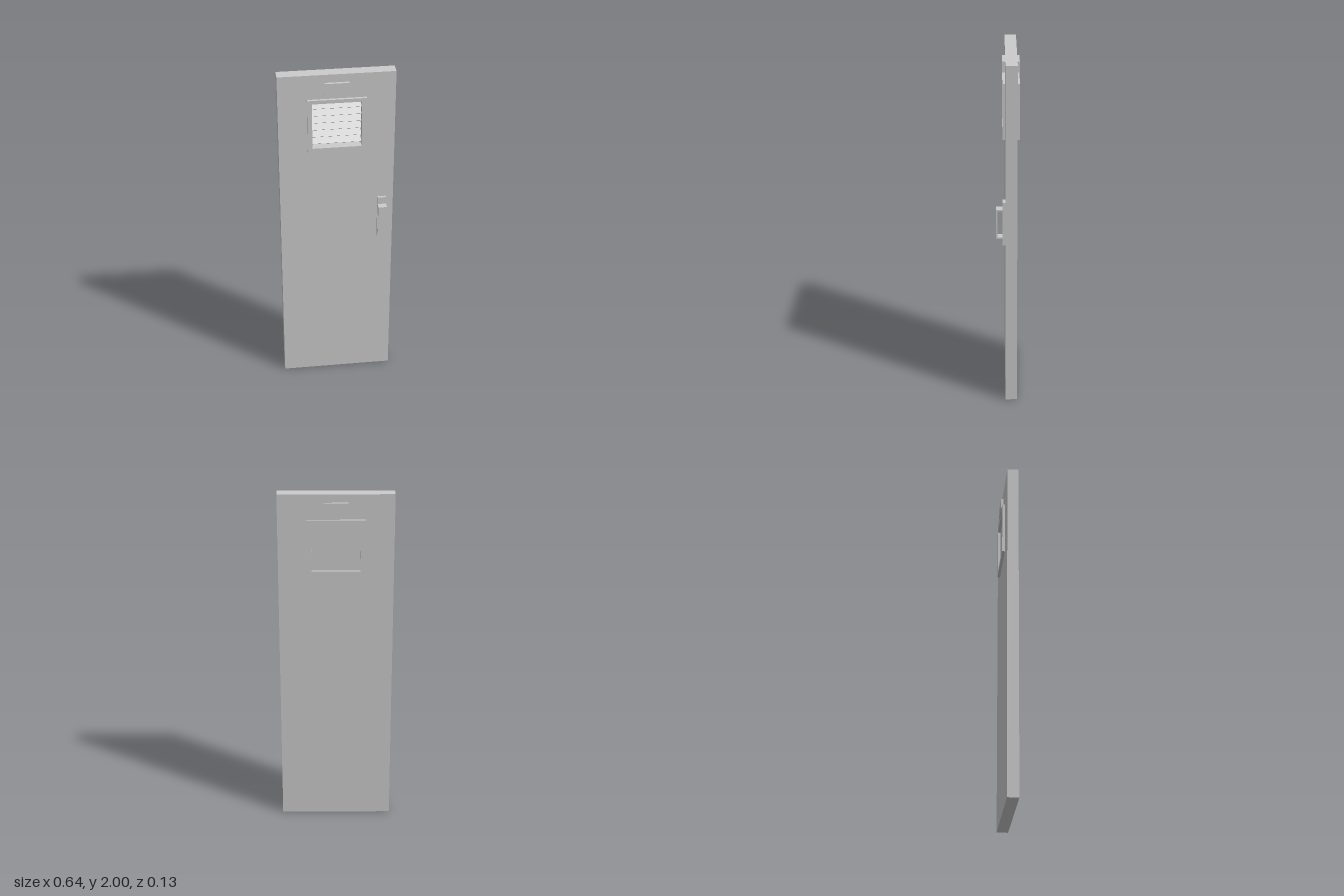
import * as THREE from 'three';

const material = new THREE.MeshStandardMaterial({ color: 0xcccccc, flatShading: true });

export function createModel() {
  const door = new THREE.Group();
  door.name = 'door';

  const add = (parent, name, geometry, x = 0, y = 0, z = 0) => {
    const mesh = new THREE.Mesh(geometry, material);
    mesh.name = name;
    mesh.position.set(x, y, z);
    parent.add(mesh);
    return mesh;
  };
  // Box given by its min and max on each axis
  const addBox = (parent, name, [x0, x1], [y0, y1], [z0, z1]) =>
    add(parent, name, new THREE.BoxGeometry(x1 - x0, y1 - y0, z1 - z0),
      (x0 + x1) / 2, (y0 + y1) / 2, (z0 + z1) / 2);

  const rect = (Type, x, y0, y1) => new Type([
    [-x, y0], [x, y0], [x, y1], [-x, y1],
  ].map(([px, py]) => new THREE.Vector2(px, py)));

  // Plate with a rectangular opening, extruded from z0 to z1
  const addFrame = (name, outer, inner, z0, z1) => {
    const shape = rect(THREE.Shape, ...outer);
    shape.holes.push(rect(THREE.Path, ...inner));
    add(door, name, new THREE.ExtrudeGeometry(shape, { depth: z1 - z0, bevelEnabled: false }), 0, 0, z0);
  };

  const front = 0.013, back = -0.052, trim = 0.015;
  const opening = [0.135, 1.563, 1.836];

  // Door leaf with the vent pocket closed at the back
  addFrame('doorLeaf', [0.319, 0, 2], opening, back, front);
  addBox(door, 'ventBackPanel', [-0.135, 0.135], [1.563, 1.836], [back, back + 0.01]);

  // Vent frames and name plates on both faces
  for (const [side, z0, z1] of [['front', front, front + trim], ['back', back - trim, back]]) {
    addFrame(side + 'VentFrame', [0.161, 1.54, 1.857], opening, z0, z1);
    addBox(door, side + 'Plate', [-0.066, 0.066], [1.892, 1.953], [z0, z1]);
  }

  // Louvre slats, sloping down towards the front
  const louvre = new THREE.Group();
  louvre.name = 'louvre';
  door.add(louvre);
  for (let i = 0; i < 6; i++) {
    const slat = add(louvre, 'slat', new THREE.BoxGeometry(0.268, 0.004, 0.064),
      0, 1.82 - i * 0.043, -0.012);
    slat.rotation.x = Math.PI / 4;
  }

  // Pull handle on its mounting plate
  const handle = new THREE.Group();
  handle.name = 'handle';
  door.add(handle);
  const hx = [0.23, 0.279];
  addBox(handle, 'handlePlate', hx, [0.962, 1.219], [front, 0.028]);
  addBox(handle, 'handleGrip', hx, [1.004, 1.176], [0.057, 0.065]);
  addBox(handle, 'handleTopArm', hx, [1.168, 1.176], [0.028, 0.057]);
  addBox(handle, 'handleBottomArm', hx, [1.004, 1.012], [0.028, 0.057]);

  return door;
}
